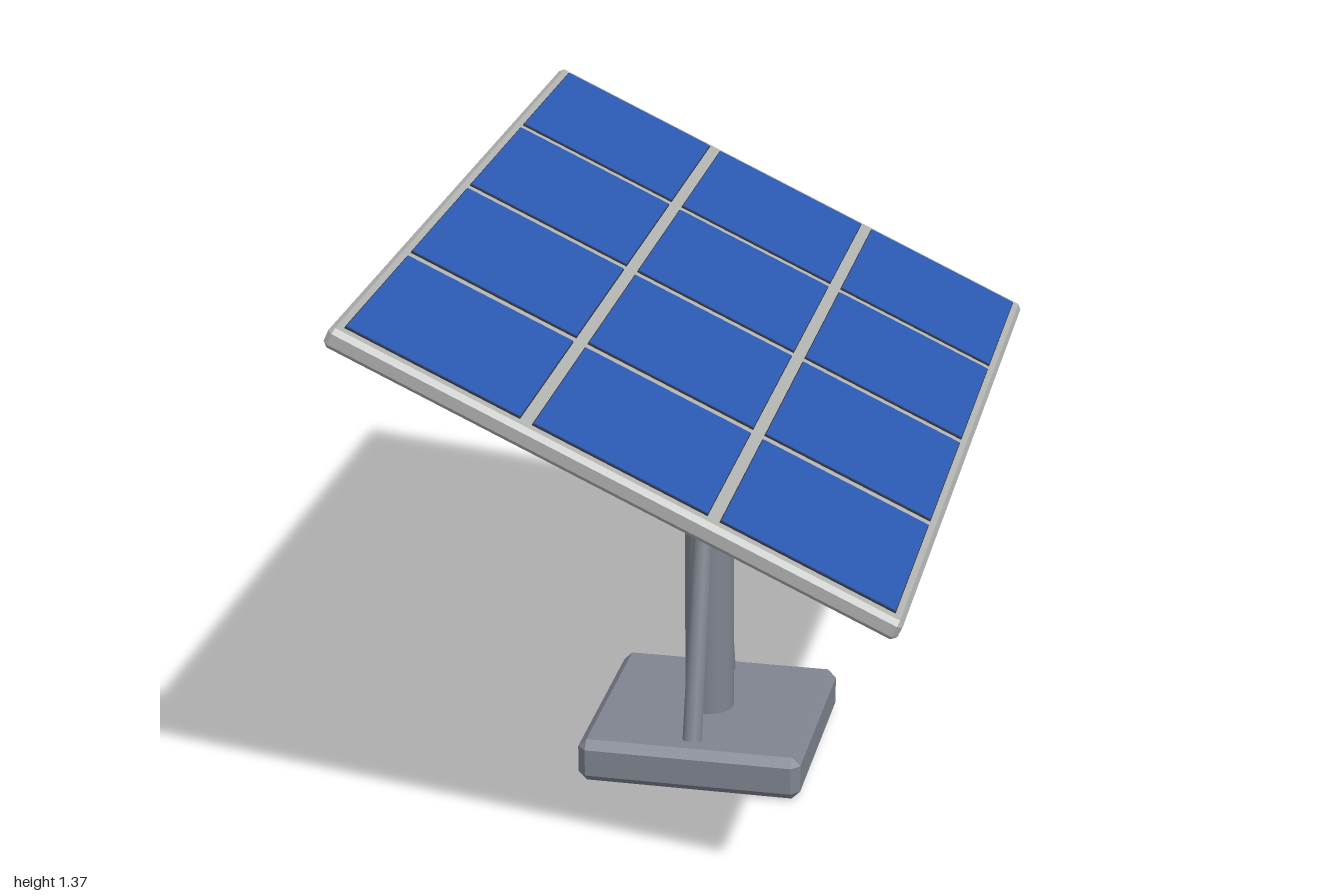
import * as THREE from 'three';
import { ConvexGeometry } from 'three/addons/geometries/ConvexGeometry.js';

const mat = (name, color) => {
  const m = new THREE.MeshStandardMaterial({ color });
  m.name = name;
  return m;
};

// Box with flat chamfers on every edge
function chamferBox(w, h, d, c) {
  const half = [w / 2, h / 2, d / 2];
  const points = [];
  for (const sx of [-1, 1]) for (const sy of [-1, 1]) for (const sz of [-1, 1]) {
    for (let axis = 0; axis < 3; axis++) {
      const p = half.map((v, i) => (i === axis ? v : v - c));
      points.push(new THREE.Vector3(sx * p[0], sy * p[1], sz * p[2]));
    }
  }
  return new ConvexGeometry(points);
}

export function createModel() {
  const model = new THREE.Group();
  model.name = 'solarPanel';
  const steel = mat('steel grey', 0x7f848f);
  const aluminium = mat('light frame grey', 0xb0b2b0);
  const blue = mat('cell blue', 0x2a58b0);
  const dark = mat('dark housing', 0x35343f);

  const add = (parent, name, geometry, material, x = 0, y = 0, z = 0) => {
    const mesh = new THREE.Mesh(geometry, material);
    mesh.name = name;
    mesh.position.set(x, y, z);
    parent.add(mesh);
    return mesh;
  };

  // Stand
  add(model, 'base', chamferBox(0.53, 0.106, 0.53, 0.02), steel, 0, 0.053, 0);
  add(model, 'column', new THREE.CylinderGeometry(0.058, 0.058, 0.83, 24), steel, 0, 0.505, 0);
  add(model, 'pivotHousing', chamferBox(0.2, 0.132, 0.28, 0.02), dark, 0, 0.968, 0);

  // Braces leaning against the column, front and back
  for (const s of [-1, 1]) {
    const foot = new THREE.Vector3(0, 0.108, 0.205 * s);
    const head = new THREE.Vector3(0, 0.602, 0.065 * s);
    const dir = head.clone().sub(foot);
    const brace = add(model, s > 0 ? 'frontBrace' : 'backBrace',
      new THREE.CylinderGeometry(0.023, 0.023, dir.length(), 16), steel);
    brace.position.copy(foot).lerp(head, 0.5);
    brace.quaternion.setFromUnitVectors(new THREE.Vector3(0, 1, 0), dir.normalize());
  }

  // Tilted panel
  const panel = new THREE.Group();
  panel.name = 'panel';
  panel.position.y = 1.072;
  panel.rotation.z = THREE.MathUtils.degToRad(-25);
  model.add(panel);
  add(panel, 'panelFrame', chamferBox(1.32, 0.048, 2, 0.011), aluminium);

  // Cells: dark bodies through the frame, with blue glass on top
  const body = new THREE.BoxGeometry(0.405, 0.056, 0.462);
  const glass = new THREE.BoxGeometry(0.401, 0.003, 0.458);
  for (let i = 0; i < 3; i++) for (let j = 0; j < 4; j++) {
    const x = (i - 1) * 0.432;
    const z = (j - 1.5) * 0.492;
    add(panel, 'cellBody', body, dark, x, 0, z);
    add(panel, 'cellGlass', glass, blue, x, 0.0285, z);
  }
  return model;
}
